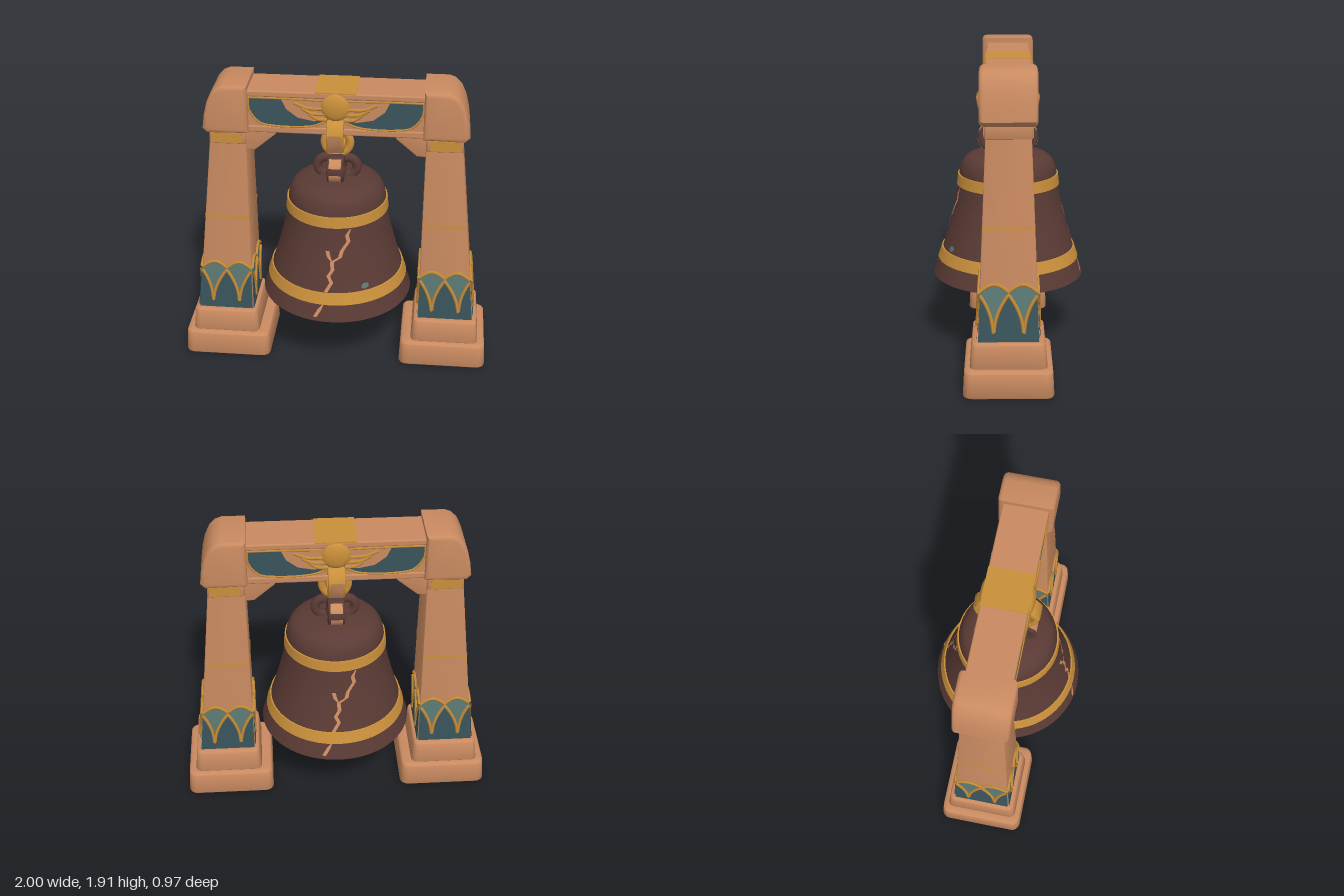
import * as THREE from 'three';
import { toCreasedNormals } from 'three/addons/utils/BufferGeometryUtils.js';
import { RoundedBoxGeometry } from 'three/addons/geometries/RoundedBoxGeometry.js';

const V3 = (x, y, z) => new THREE.Vector3(x, y, z);
const V2 = (x, y) => new THREE.Vector2(x, y);
const lerp = THREE.MathUtils.lerp;

function flat(name, color) {
  const m = new THREE.MeshStandardMaterial({ color, side: THREE.DoubleSide });
  m.name = name;
  return m;
}

function add(group, name, geo, mat, x = 0, y = 0, z = 0) {
  const mesh = new THREE.Mesh(geo, mat);
  mesh.name = name;
  mesh.position.set(x, y, z);
  group.add(mesh);
  return mesh;
}

// Rounded box whose section changes from [centre x, half x, half z] low to high
function taperBox(low, high, y0, y1, r) {
  const g = new RoundedBoxGeometry(1, 1, 1, 3, r);
  const p = g.attributes.position;
  for (let i = 0; i < p.count; i++) {
    const t = p.getY(i) + 0.5;
    const [c, hx, hz] = low.map((v, k) => lerp(v, high[k], t));
    p.setXYZ(i, c + p.getX(i) * 2 * hx, lerp(y0, y1, t), p.getZ(i) * 2 * hz);
  }
  return toCreasedNormals(g, 0.7);
}

// Surface between two rows of points
function strip(a, b) {
  const pos = [], idx = [];
  a.forEach((p, i) => {
    pos.push(...p.toArray(), ...b[i].toArray());
    if (i) idx.push(2 * i - 2, 2 * i, 2 * i - 1, 2 * i - 1, 2 * i, 2 * i + 1);
  });
  const g = new THREE.BufferGeometry();
  g.setAttribute('position', new THREE.Float32BufferAttribute(pos, 3));
  g.setIndex(idx);
  g.computeVertexNormals();
  return g;
}

function extrude(points, depth, bevel, hole) {
  const s = new THREE.Shape(points);
  if (hole) s.holes.push(new THREE.Path(hole));
  const g = new THREE.ExtrudeGeometry(s, {
    depth: depth - 2 * bevel, bevelEnabled: bevel > 0, bevelSize: bevel,
    bevelThickness: bevel, bevelOffset: -bevel, bevelSegments: 3,
  });
  g.translate(0, 0, bevel - depth / 2);
  return toCreasedNormals(g, 0.7);
}

const tube = (pts, r) => new THREE.TubeGeometry(new THREE.CatmullRomCurve3(pts), pts.length * 2, r, 5);
const pairs = (list) => list.map(([x, y]) => V2(x, y));

// Shaft section and a point on one of its four faces, u runs -1..1
const SHAFT_LOW = [0.725, 0.18, 0.183], SHAFT_TOP = [0.664, 0.11, 0.13];
function facePoint(f, u, y, off) {
  const [c, hx, hz] = SHAFT_LOW.map((v, k) => lerp(v, SHAFT_TOP[k], (y - 0.32) / 1.29));
  if (f === 0) return V3(c + u * hx, y, hz + off);
  if (f === 1) return V3(c + hx + off, y, -u * hz);
  if (f === 2) return V3(c - u * hx, y, -hz - off);
  return V3(c - hx - off, y, u * hz);
}
const US = Array.from({ length: 49 }, (_, i) => (i / 24 - 1) * 0.985);
const arch = (u) => 0.335 + 0.285 * Math.pow(Math.max(0, 1 - 2 * Math.abs(u - Math.round(u))), 0.4);
const scallop = (u) => 0.635 + 0.045 * Math.abs(Math.sin(Math.PI * u));
const row = (f, fn, off) => US.map((u) => facePoint(f, u, fn(u), off));

function makePillar(m) {
  const g = new THREE.Group();
  add(g, 'plinth', taperBox([0.715, 0.285, 0.272], [0.715, 0.275, 0.262], 0, 0.178, 0.1), m.clay);
  add(g, 'pedestal', taperBox([0.725, 0.222, 0.232], [0.725, 0.205, 0.215], 0.165, 0.33, 0.09), m.clay);
  add(g, 'shaft', taperBox(SHAFT_LOW, SHAFT_TOP, 0.32, 1.61, 0.03), m.clay);
  add(g, 'collar', taperBox([0.668, 0.116, 0.14], [0.668, 0.112, 0.14], 1.52, 1.615, 0.06), m.clay);
  for (const z of [-0.141, 0.141])
    add(g, 'collarGilding', new THREE.BoxGeometry(0.19, 0.065, 0.006), m.gold, 0.675, 1.563, z);
  // Petal sheath and thin ring on each face
  for (let f = 0; f < 4; f++) {
    add(g, 'sheathBack', strip(row(f, () => 0.335, 0.002), row(f, scallop, 0.002)), m.teal);
    add(g, 'petals', strip(row(f, () => 0.335, 0.006), row(f, arch, 0.006)), m.blue);
    add(g, 'petalOutline', tube(row(f, arch, 0.006), 0.011), m.gold);
    add(g, 'sheathEdge', tube(row(f, scallop, 0.004), 0.011), m.gold);
    add(g, 'shaftRing', strip(row(f, () => 1.002, 0.004), row(f, () => 1.02, 0.004)), m.gold);
  }
  // Capital block and bracket under the beam
  add(g, 'capital', extrude(pairs([[0.535, 1.605], [0.79, 1.6], [0.818, 1.63], [0.805, 1.72], [0.785, 1.8],
    [0.755, 1.865], [0.72, 1.9], [0.68, 1.915], [0.535, 1.915]]), 0.34, 0.025), m.clay);
  add(g, 'bracket', extrude(pairs([[0.58, 1.475], [0.5, 1.478], [0.37, 1.59], [0.37, 1.625], [0.58, 1.625]]), 0.25, 0.01), m.clay);
  return g;
}

// Winged ornament for one face of the beam
function makeWings(m) {
  const g = new THREE.Group();
  for (const s of [-1, 1]) {
    const shape = (list) => new THREE.ShapeGeometry(new THREE.Shape(list.map(([x, y]) => V2(s * x, y))));
    const outer = [[0.53, 1.835], [0.53, 1.765], [0.505, 1.715], [0.46, 1.67], [0.38, 1.655], [0.25, 1.652], [0.13, 1.665], [0.05, 1.7]];
    add(g, 'wingFeathers', shape([[0.03, 1.835], ...outer]), m.blue, 0, 0, 0.133);
    add(g, 'wingInner', shape([[0.03, 1.835], [0.33, 1.835], [0.3, 1.77], [0.23, 1.715], [0.13, 1.695], [0.04, 1.72]]), m.clay, 0, 0, 0.136);
    add(g, 'wingOutline', tube(outer.map(([x, y]) => V3(s * x, y, 0.133)), 0.007), m.gold);
    add(g, 'wingTop', tube([V3(s * 0.08, 1.832, 0.134), V3(s * 0.3, 1.837, 0.134), V3(s * 0.53, 1.837, 0.134)], 0.007), m.gold);
    for (let i = 0; i < 3; i++) {
      const y = 1.81 - i * 0.035, x = 0.25 - i * 0.045;
      add(g, 'giltFeather', tube([V3(s * 0.05, y - 0.03, 0.137), V3(s * x * 0.7, y - 0.028, 0.137), V3(s * x, y + 0.005, 0.137)], 0.011), m.gold);
    }
  }
  const disc = add(g, 'sunDisc', new THREE.SphereGeometry(0.088, 32, 16), m.gold, 0, 1.79, 0.133);
  disc.scale.z = 0.35;
  return g;
}

// Bell outline, radius by height
const PROFILE = new THREE.SplineCurve(pairs([[0.485, 0.465], [0.465, 0.52], [0.437, 0.6], [0.405, 0.7], [0.37, 0.82],
  [0.34, 0.94], [0.32, 1.06], [0.312, 1.13], [0.3, 1.185], [0.272, 1.23], [0.215, 1.26], [0.12, 1.277], [0.001, 1.282]])).getPoints(60);
function bellRadius(y) {
  const i = Math.max(1, PROFILE.findIndex((p) => p.y >= y));
  const a = PROFILE[i - 1], b = PROFILE[i];
  return lerp(a.x, b.x, (y - a.y) / (b.y - a.y));
}
const onBell = (x, y, off) => V3(x, y, Math.sqrt((bellRadius(y) + off) ** 2 - x * x));

function makeBell(m) {
  const g = new THREE.Group();
  const inner = PROFILE.map((p) => V2(Math.max(0, p.x - 0.035), p.y < 0.5 ? p.y + 0.004 : p.y - 0.03)).reverse();
  add(g, 'bellBody', toCreasedNormals(new THREE.LatheGeometry([...inner, ...PROFILE], 64), 0.9), m.bronze);
  for (const [y0, y1] of [[0.573, 0.645], [1.06, 1.13]]) {
    const pts = [V2(bellRadius(y0) - 0.01, y0)];
    for (let i = 0; i <= 4; i++) {
      const y = lerp(y0, y1, i / 4);
      pts.push(V2(bellRadius(y) + 0.009, y));
    }
    pts.push(V2(bellRadius(y1) - 0.01, y1));
    add(g, 'bellBand', toCreasedNormals(new THREE.LatheGeometry(pts, 64), 0.6), m.gold);
  }
  // Cracks and a patina spot, on front and back
  const cracks = [
    [[0.11, 1.05], [0.09, 1.01], [0.1, 0.97], [0.06, 0.91], [0.05, 0.87], [0, 0.84], [0.005, 0.79], [-0.02, 0.75], [0, 0.71], [-0.035, 0.65]],
    [[-0.05, 0.572], [-0.07, 0.54], [-0.1, 0.49]],
    [[0.0, 0.84], [-0.02, 0.87], [-0.03, 0.91]],
  ];
  for (const turn of [0, Math.PI]) {
    const side = new THREE.Group();
    side.name = 'bellWear';
    side.rotation.y = turn;
    g.add(side);
    cracks.forEach((c) => {
      const edge = (s) => c.map(([x, y], i) => onBell(x + s * (i === 0 ? 0.004 : 0.012), y, 0.004));
      add(side, 'crack', strip(edge(-1), edge(1)), m.clay);
    });
    const arc = (s) => Array.from({ length: 9 }, (_, i) => {
      const a = (i / 8) * Math.PI;
      return onBell(0.21 - 0.022 * Math.cos(a), 0.675 + s * 0.018 * Math.sin(a), 0.004);
    });
    if (!turn) add(side, 'patinaSpot', strip(arc(-1), arc(1)), m.teal);
  }
  // Clapper
  add(g, 'clapperBall', new THREE.SphereGeometry(0.083, 32, 20), m.clay, 0, 0.432, 0);
  add(g, 'clapperNeck', new THREE.CylinderGeometry(0.03, 0.045, 0.1, 16), m.clay, 0, 0.53, 0);
  add(g, 'clapperRod', new THREE.CylinderGeometry(0.016, 0.016, 0.7, 12), m.bronze, 0, 0.92, 0);
  // Crown stub and four loops
  add(g, 'crownStub', new THREE.CylinderGeometry(0.045, 0.065, 0.16, 20), m.bronze, 0, 1.345, 0);
  const circle = (r) => new THREE.Path().absarc(0, 0, r, 0, Math.PI * 2).getPoints(14).slice(0, -1);
  for (const s of [-1, 1]) {
    add(g, 'crownLoop', new THREE.TorusGeometry(0.058, 0.029, 12, 28), m.bronze, s * 0.068, 1.335, 0);
    const loop = add(g, 'crownStrap', extrude(circle(0.086), 0.105, 0.012, circle(0.04)), m.bronze, 0, 1.365, s * 0.105);
    loop.rotation.y = Math.PI / 2;
    for (const a of [0.75, -0.5]) {
      const worn = add(g, 'wornEdge', new THREE.CylinderGeometry(0.088, 0.088, 0.075, 8, 1, true, a - 0.35, 0.75), m.clay, 0, 1.365, s * 0.105);
      worn.rotation.set(0, s > 0 ? 0 : Math.PI, Math.PI / 2, 'YXZ');
    }
  }
  return g;
}

export function createModel() {
  const m = {
    clay: flat('terracotta', 0xc98a60), gold: flat('gold', 0xc98f3a), bronze: flat('darkBronze', 0x5a3a34),
    blue: flat('slateBlue', 0x3a545c), teal: flat('patinaTeal', 0x5c7a74),
  };
  const model = new THREE.Group();
  model.name = 'bellGate';

  // Two pillars, and ornament on both faces of the beam
  for (const turn of [0, Math.PI]) {
    const pillar = makePillar(m), wings = makeWings(m);
    pillar.name = turn ? 'rightPillar' : 'leftPillar';
    wings.name = turn ? 'backWings' : 'frontWings';
    pillar.rotation.y = wings.rotation.y = turn;
    model.add(pillar, wings);
  }

  // Beam with rims
  add(model, 'beam', new THREE.BoxGeometry(1.12, 0.27, 0.26), m.clay, 0, 1.743, 0);
  add(model, 'beamTopRim', new RoundedBoxGeometry(1.1, 0.04, 0.278, 2, 0.01), m.clay, 0, 1.862, 0);
  add(model, 'beamBottomRim', new RoundedBoxGeometry(1.1, 0.045, 0.274, 2, 0.01), m.clay, 0, 1.628, 0);
  add(model, 'beamGilding', new THREE.BoxGeometry(0.25, 0.008, 0.28), m.gold, 0, 1.882, 0);

  // Hanger strap under the beam, and the ring in it
  const half = [[0.13, 1.705], [0.165, 1.69], [0.2, 1.63], [0.188, 1.56], [0.15, 1.495], [0.07, 1.478]];
  const inner = [[0.13, 1.66], [0.165, 1.625], [0.155, 1.57], [0.13, 1.53], [0.06, 1.515]];
  const mirror = (l) => l.map(([z, y]) => [-z, y]).reverse();
  const strap = add(model, 'hangerStrap', extrude(pairs([...half, ...mirror(half), ...inner.map(([z, y]) => [-z, y]),
    ...inner.slice().reverse()]), 0.105, 0.008), m.gold);
  strap.rotation.y = Math.PI / 2;
  for (const s of [-1, 1]) {
    const plate = (x) => [[0.203, 1.63], [0.191, 1.56], [0.153, 1.495]].map(([z, y]) => V3(x, y, s * z));
    add(model, 'strapWear', strip(plate(-0.038), plate(0.038)), m.clay);
  }
  add(model, 'hangerRing', new THREE.TorusGeometry(0.08, 0.026, 12, 36), m.gold, 0, 1.5, 0);

  const bell = makeBell(m);
  bell.name = 'bell';
  model.add(bell);
  return model;
}
